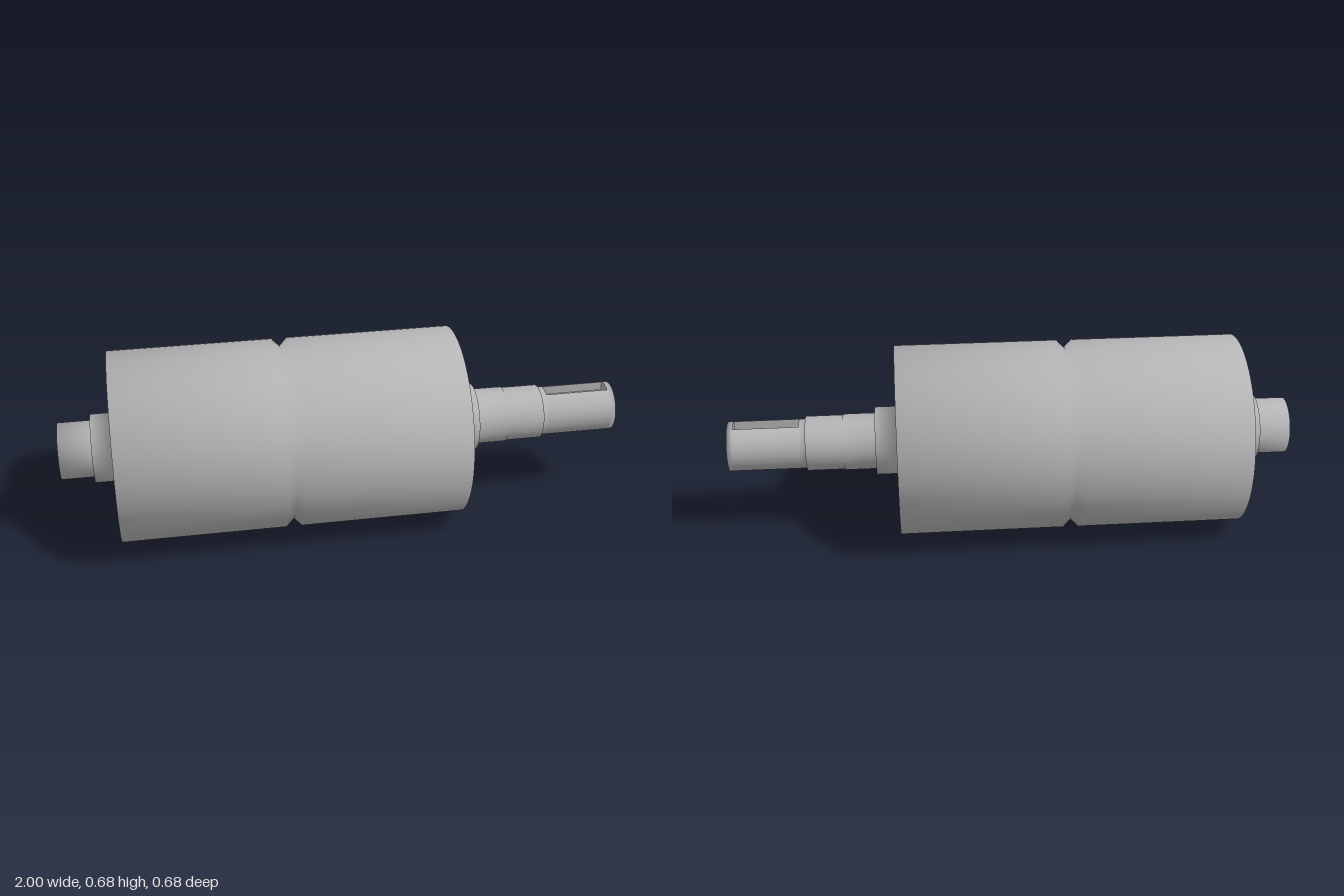
import * as THREE from 'three';

const SEG = 96;
const R = 0.338;          // drum radius, also the axis height
const END_R = 0.088;      // keyed shaft end radius
const SLOT = { x0: 0.75, x1: 0.98, half: 0.03, floor: 0.05 };

const steel = new THREE.MeshStandardMaterial({ color: 0xb4b4b6 });
steel.name = 'steel grey';

export function createModel() {
  const group = new THREE.Group();
  group.name = 'roller';

  const add = (name, geometry, x = 0, y = 0, z = 0) => {
    const mesh = new THREE.Mesh(geometry, steel);
    mesh.name = name;
    mesh.position.set(x, R + y, z);
    group.add(mesh);
  };

  // Turned parts: [radius, x] profiles spun about the x axis
  const turned = (profile) =>
    new THREE.LatheGeometry(profile.map(([r, x]) => new THREE.Vector2(r, x)), SEG).rotateZ(-Math.PI / 2);

  // Drum with centre groove, collars and stepped shaft
  add('rollerBody', turned([
    [0, -1], [0.1, -1], [0.1, -0.885], [0.121, -0.885], [0.121, -0.81],
    [R, -0.81], [R, -0.232], [0.309, -0.203], [R, -0.174], [R, 0.405],
    [0.121, 0.405], [0.121, 0.482], [0.1, 0.482], [0.1, 0.595],
    [0.097, 0.595], [0.097, 0.727], [END_R, 0.727], [END_R, SLOT.x0],
  ]));

  // Shaft end beyond the keyway
  add('shaftTip', turned([[END_R, SLOT.x1], [END_R, 1], [0, 1]]));

  // Shaft wall left open along the top for the keyway
  const length = SLOT.x1 - SLOT.x0;
  const mid = (SLOT.x0 + SLOT.x1) / 2;
  const gap = Math.asin(SLOT.half / END_R);
  add('keyedShaft', new THREE.CylinderGeometry(
    END_R, END_R, length, SEG, 1, true, Math.PI * 1.5 + gap, Math.PI * 2 - gap * 2
  ).rotateZ(-Math.PI / 2), mid);

  // Keyway floor, side walls and end walls
  const rim = Math.sqrt(END_R ** 2 - SLOT.half ** 2);
  const depth = rim - SLOT.floor;
  add('keywayFloor', new THREE.PlaneGeometry(length, SLOT.half * 2).rotateX(-Math.PI / 2), mid, SLOT.floor);
  for (const side of [-1, 1]) {
    const wall = new THREE.PlaneGeometry(length, depth);
    if (side > 0) wall.rotateY(Math.PI);
    add('keywaySide', wall, mid, SLOT.floor + depth / 2, side * SLOT.half);

    const end = new THREE.CircleGeometry(END_R, SEG).rotateY(-side * Math.PI / 2);
    add('keywayEnd', end, side > 0 ? SLOT.x1 : SLOT.x0);
  }

  return group;
}
